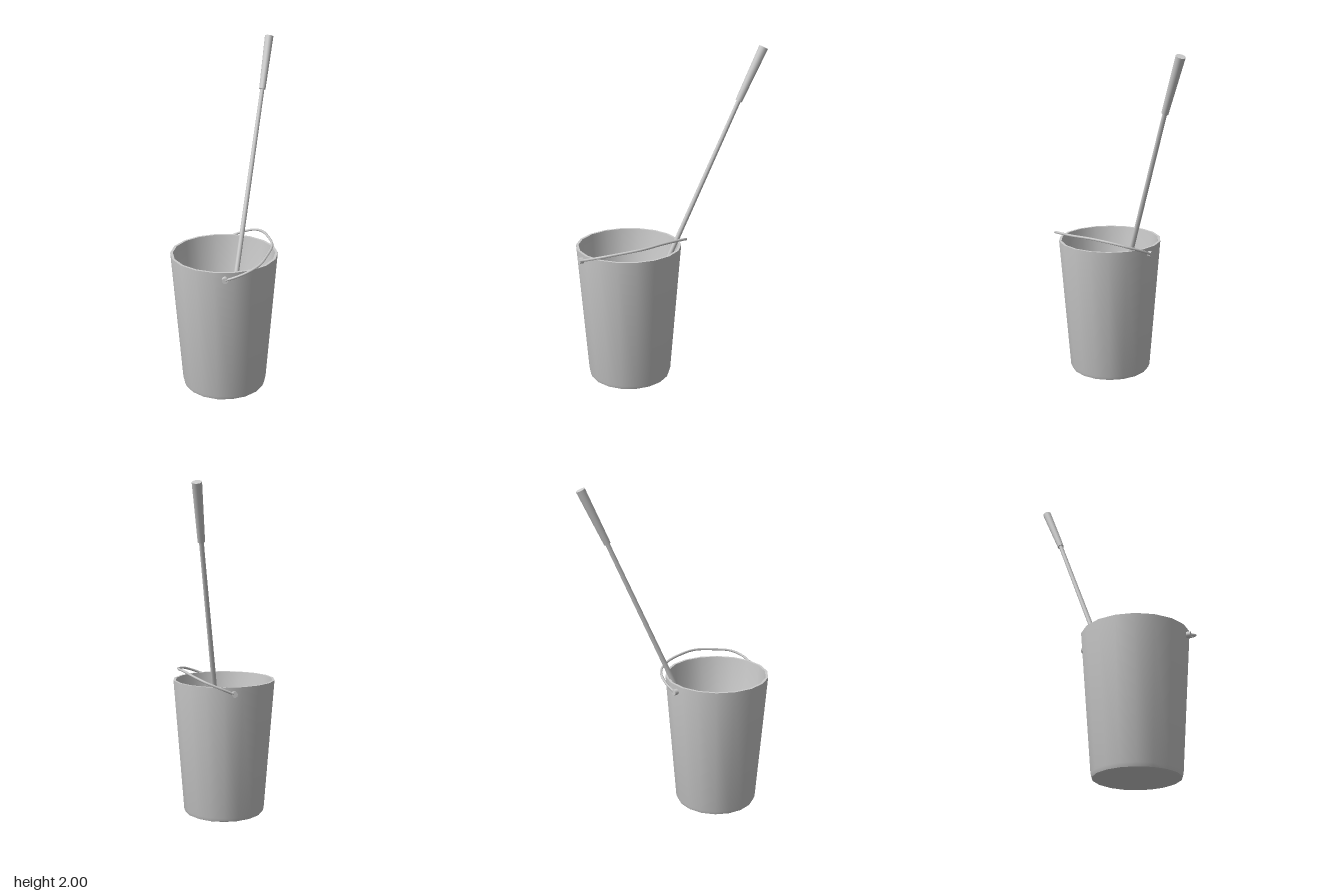
import * as THREE from 'three';
import { toCreasedNormals } from 'three/addons/utils/BufferGeometryUtils.js';

const CENTRE = new THREE.Vector3(-0.105, 0, 0.145); // bucket axis
const grey = new THREE.MeshStandardMaterial({ color: 0xcccccc });

function addMesh(parent, name, geometry) {
  const mesh = new THREE.Mesh(geometry, grey);
  mesh.name = name;
  parent.add(mesh);
  return mesh;
}

function lathe(profile, sides, start = 0) {
  const points = profile.map(([r, y]) => new THREE.Vector2(r, y));
  return new THREE.LatheGeometry(points, sides, start);
}

// Round bar between two points, with a radius at each end
function addRod(parent, name, from, to, r0, r1, sides) {
  const dir = to.clone().sub(from);
  const rod = addMesh(parent, name, new THREE.CylinderGeometry(r1, r0, dir.length(), sides));
  rod.position.copy(from).addScaledVector(dir, 0.5);
  rod.quaternion.setFromUnitVectors(new THREE.Vector3(0, 1, 0), dir.normalize());
  return rod;
}

export function createModel() {
  const model = new THREE.Group();
  model.name = 'bucketAndMop';

  // Tapered bucket: underside, outer wall, rim, inner wall, floor
  const bucketProfile = [
    [0, 0], [0.228, 0], [0.244, 0.007], [0.252, 0.028],
    [0.314, 0.84], [0.299, 0.84],
    [0.238, 0.055], [0.228, 0.036], [0.205, 0.028], [0, 0.028],
  ];
  const bucket = addMesh(model, 'bucket',
    toCreasedNormals(lathe(bucketProfile, 18, THREE.MathUtils.degToRad(12.5)), 0.75));
  bucket.position.copy(CENTRE);

  // Wire bail resting on one side of the rim
  const bailPath = [
    [-0.196, 0.80, 0.455], [-0.14, 0.822, 0.478], [-0.07, 0.85, 0.49],
    [0.0, 0.873, 0.468], [0.063, 0.888, 0.4], [0.143, 0.905, 0.28],
    [0.168, 0.907, 0.14], [0.172, 0.895, 0.0], [0.143, 0.872, -0.09],
    [0.07, 0.837, -0.145], [-0.01, 0.80, -0.165],
  ].map((p) => new THREE.Vector3(...p));
  addMesh(model, 'bail',
    new THREE.TubeGeometry(new THREE.CatmullRomCurve3(bailPath), 40, 0.0075, 6));

  // Pivot studs where the bail meets the wall
  for (const end of [bailPath[0], bailPath[bailPath.length - 1]]) {
    const out = end.clone().sub(CENTRE).setY(0).normalize();
    addRod(model, 'bailPivot', end.clone().addScaledVector(out, -0.02),
      end.clone().addScaledVector(out, 0.007), 0.018, 0.018, 10);
  }

  // Leaning shaft with a thicker grip
  const foot = new THREE.Vector3(-0.1, 0.19, 0.147);
  const gripStart = new THREE.Vector3(0.303, 1.685, -0.36);
  const gripEnd = new THREE.Vector3(0.385, 1.99, -0.473);
  addRod(model, 'shaft', foot, gripStart, 0.016, 0.013, 10);
  addRod(model, 'grip', gripStart, gripEnd, 0.02, 0.027, 12);
  const along = gripStart.clone().sub(foot).normalize();
  addRod(model, 'socket', foot.clone().addScaledVector(along, -0.04),
    foot.clone().addScaledVector(along, 0.03), 0.021, 0.019, 10);

  // Domed head on the bucket floor, slightly uneven around its edge
  const headProfile = [
    [0, 0.03], [0.18, 0.03], [0.19, 0.055], [0.178, 0.1],
    [0.14, 0.15], [0.085, 0.185], [0.035, 0.2], [0, 0.203],
  ];
  const headGeometry = lathe(headProfile, 16);
  const pos = headGeometry.attributes.position;
  for (let i = 0; i < pos.count; i++) {
    const angle = Math.atan2(pos.getX(i), pos.getZ(i));
    const k = 1 + 0.035 * Math.cos(4 * angle - 1.7);
    pos.setX(i, pos.getX(i) * k);
    pos.setZ(i, pos.getZ(i) * k);
  }
  const head = addMesh(model, 'head', toCreasedNormals(headGeometry, 0.9));
  head.position.set(-0.108, 0, 0.15);

  return model;
}
